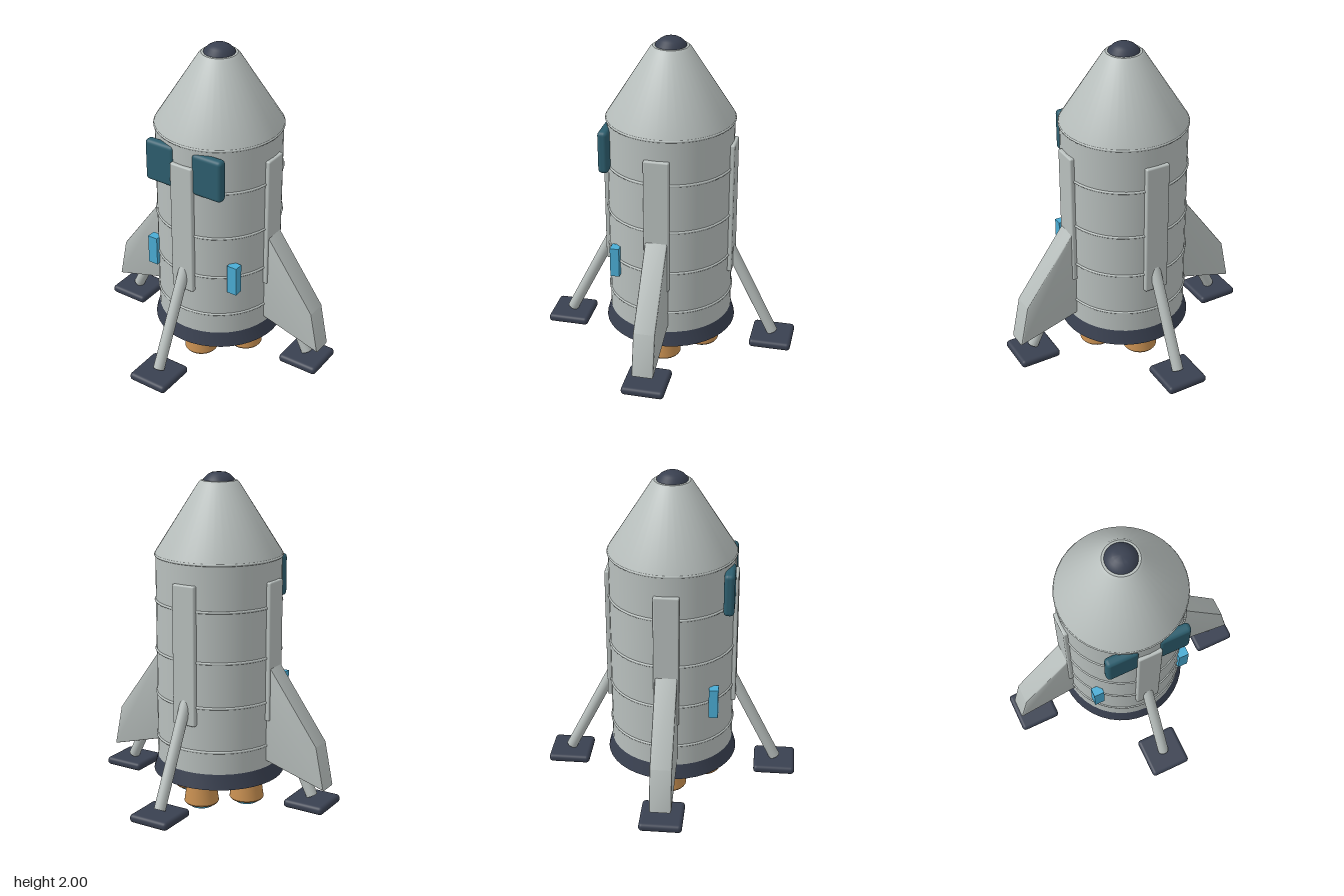
import * as THREE from 'three';
import { RoundedBoxGeometry } from 'three/addons/geometries/RoundedBoxGeometry.js';
import { toCreasedNormals } from 'three/addons/utils/BufferGeometryUtils.js';

const SIDES = 40;

const paint = (name, color) => {
  const m = new THREE.MeshStandardMaterial({ color });
  m.name = name;
  return m;
};

export function createModel() {
  const hull = paint('hull grey', 0xb8bfbd);
  const dark = paint('dark slate', 0x394050);
  const copper = paint('copper', 0xc68e50);
  const glass = paint('dark teal glass', 0x2d5e6e);
  const blue = paint('bright blue', 0x4aacd4);

  const model = new THREE.Group();
  model.name = 'rocket';

  const add = (parent, name, geometry, material, x = 0, y = 0, z = 0) => {
    const mesh = new THREE.Mesh(geometry, material);
    mesh.name = name;
    mesh.position.set(x, y, z);
    parent.add(mesh);
    return mesh;
  };
  // Turned part from [radius, height] pairs, listed bottom to top
  const lathe = (points, sides = SIDES) =>
    toCreasedNormals(new THREE.LatheGeometry(points.map(([r, y]) => new THREE.Vector2(r, y)), sides), 0.6);

  // Hull, nose and skirt
  add(model, 'body', new THREE.CylinderGeometry(0.375, 0.375, 1.27, SIDES), hull, 0, 0.895);
  add(model, 'noseCone', lathe([[0, 1.515], [0.372, 1.515], [0.38, 1.522], [0.376, 1.535],
    [0.12, 1.94], [0.105, 1.953], [0, 1.955]]), hull);
  add(model, 'noseCap', lathe([[0, 1.945], [0.092, 1.95], [0.09, 1.96], [0.066, 1.985],
    [0.045, 1.997], [0, 2]]), dark);
  add(model, 'skirt', lathe([[0, 0.185], [0.4, 0.185], [0.374, 0.277], [0, 0.277]]), dark);

  // Seam rings around the hull
  for (const y of [0.41, 0.68, 0.95, 1.25, 1.522]) {
    const ring = add(model, 'seamRing', new THREE.TorusGeometry(0.375, 0.008, 8, SIDES), hull, 0, y);
    ring.rotation.x = Math.PI / 2;
  }

  // Rib, leg, foot and engine repeated on the four sides
  const top = new THREE.Vector3(0, 0.76, 0.336);
  const foot = new THREE.Vector3(0, 0.13, 0.648);
  const slope = foot.clone().sub(top);
  for (let i = 0; i < 4; i++) {
    const side = new THREE.Group();
    side.name = 'quarter';
    side.rotation.y = (i * Math.PI) / 2;
    model.add(side);

    add(side, 'rib', new RoundedBoxGeometry(0.15, 0.835, 0.06, 2, 0.01), hull, 0, 0.983, 0.363);
    const leg = add(side, 'leg', new THREE.CylinderGeometry(0.034, 0.034, slope.length(), 20), hull);
    leg.position.copy(top).add(foot).multiplyScalar(0.5);
    leg.quaternion.setFromUnitVectors(new THREE.Vector3(0, 1, 0), slope.clone().normalize());
    add(side, 'footPad', new RoundedBoxGeometry(0.256, 0.05, 0.256, 3, 0.022), dark, 0, 0.096, 0.648);

    add(side, 'nozzle', lathe([[0, 0.02], [0.098, 0.02], [0.105, 0.03], [0.082, 0.195], [0, 0.195]], 28),
      copper, 0, 0, 0.2);
    add(side, 'exhaustDisc', new THREE.CylinderGeometry(0.075, 0.07, 0.025, 28), blue, 0, 0.0125, 0.2);
  }

  // Swept fins on left and right, with a small bevel
  const fin = new THREE.Shape([[0.32, 0.98], [0.32, 0.336], [0.742, 0.211], [0.69, 0.457]]
    .map(([x, y]) => new THREE.Vector2(x, y)));
  const finGeometry = toCreasedNormals(new THREE.ExtrudeGeometry(fin, {
    depth: 0.11, bevelThickness: 0.01, bevelSize: 0.01, bevelSegments: 2,
  }).translate(0, 0, -0.055), 0.5);
  for (const turn of [0, Math.PI]) {
    add(model, 'fin', finGeometry, hull).rotation.y = turn;
  }

  // Front windows and lamps
  for (const s of [-1, 1]) {
    add(model, 'window', new RoundedBoxGeometry(0.2, 0.26, 0.062, 3, 0.024), glass, s * 0.161, 1.36, 0.346);
    add(model, 'lamp', new THREE.BoxGeometry(0.064, 0.186, 0.055), blue, s * 0.288, 0.682, 0.272);
  }
  return model;
}
